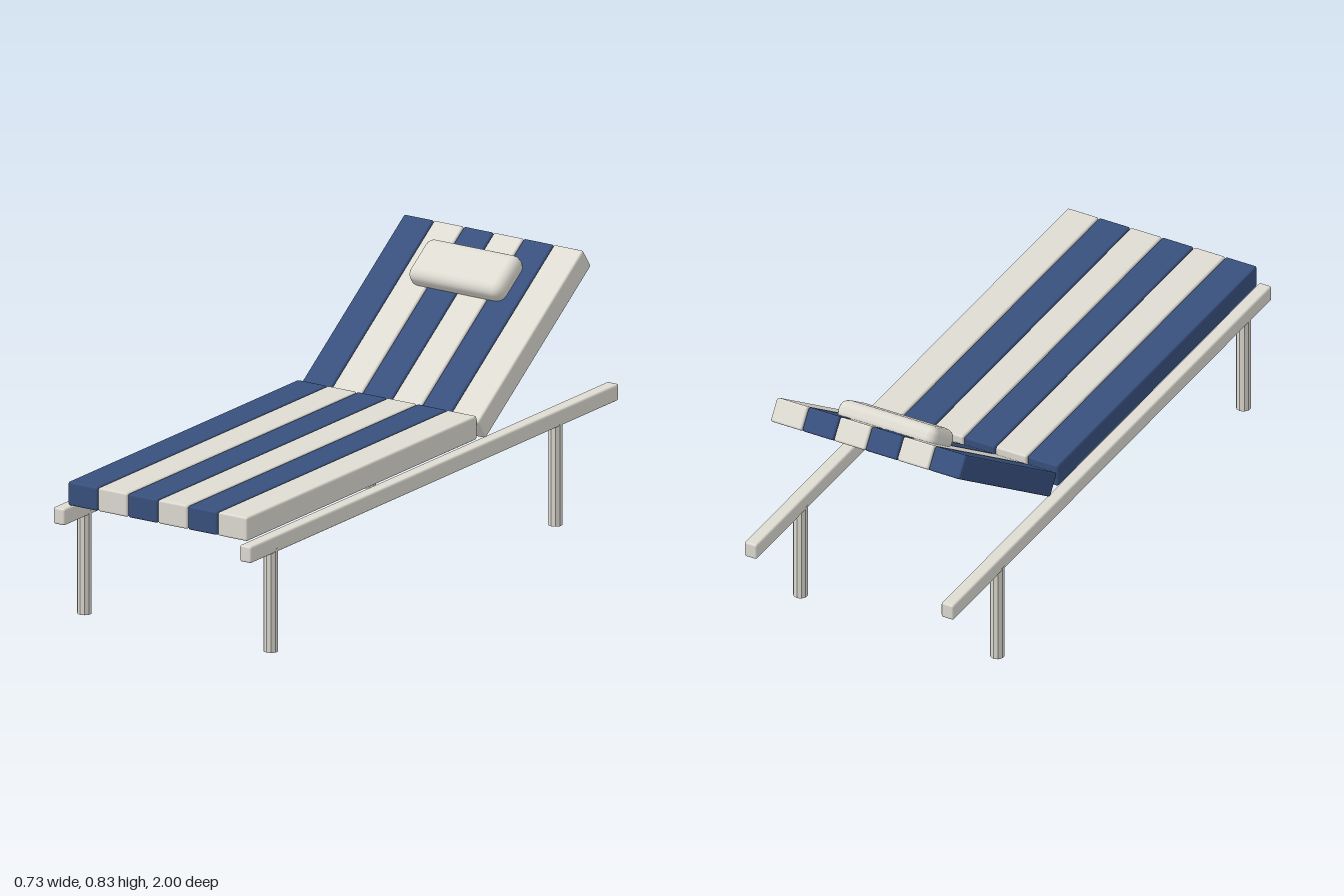
import * as THREE from 'three';
import { RoundedBoxGeometry } from 'three/addons/geometries/RoundedBoxGeometry.js';

const cream = new THREE.MeshStandardMaterial({ color: 0xdedbd2 });
cream.name = 'cream';
const navy = new THREE.MeshStandardMaterial({ color: 0x38507e });
navy.name = 'navy';
const creamFaceted = cream; // one material serves the frame and the fabric

function add(parent, name, geometry, material, x, y, z) {
  const mesh = new THREE.Mesh(geometry, material);
  mesh.name = name;
  mesh.position.set(x, y, z);
  parent.add(mesh);
  return mesh;
}

// Row of six alternating padded strips, centred on its own origin
function stripedCushion(name, length) {
  const group = new THREE.Group();
  group.name = name;
  const geometry = new RoundedBoxGeometry(0.108, 0.076, length, 2, 0.007);
  for (let i = 0; i < 6; i++) {
    add(group, name + 'Strip', geometry, i % 2 ? cream : navy, (i - 2.5) * 0.11, 0, 0);
  }
  return group;
}

export function createModel() {
  const model = new THREE.Group();
  model.name = 'sunLounger';

  // Side rails and ten-sided legs
  const railGeometry = new RoundedBoxGeometry(0.043, 0.053, 2, 2, 0.007);
  const legGeometry = new THREE.CylinderGeometry(0.023, 0.023, 0.33, 10).toNonIndexed();
  legGeometry.computeVertexNormals();
  for (const side of [-1, 1]) {
    add(model, 'sideRail', railGeometry, creamFaceted, side * 0.342, 0.344, 0);
    for (const z of [0.86, -0.685]) {
      add(model, 'leg', legGeometry, creamFaceted, side * 0.342, 0.165, z);
    }
  }

  // Flat seat
  const seat = stripedCushion('seat', 1.25);
  seat.position.set(0, 0.412, 0.345);
  model.add(seat);

  // Reclined backrest with its head pillow
  const backrest = stripedCushion('backrest', 0.7);
  backrest.position.set(0, 0.596, -0.592);
  backrest.rotation.x = THREE.MathUtils.degToRad(35);
  add(backrest, 'pillow', new RoundedBoxGeometry(0.344, 0.07, 0.16, 2, 0.03), cream, 0, 0.055, -0.178);
  model.add(backrest);

  return model;
}
